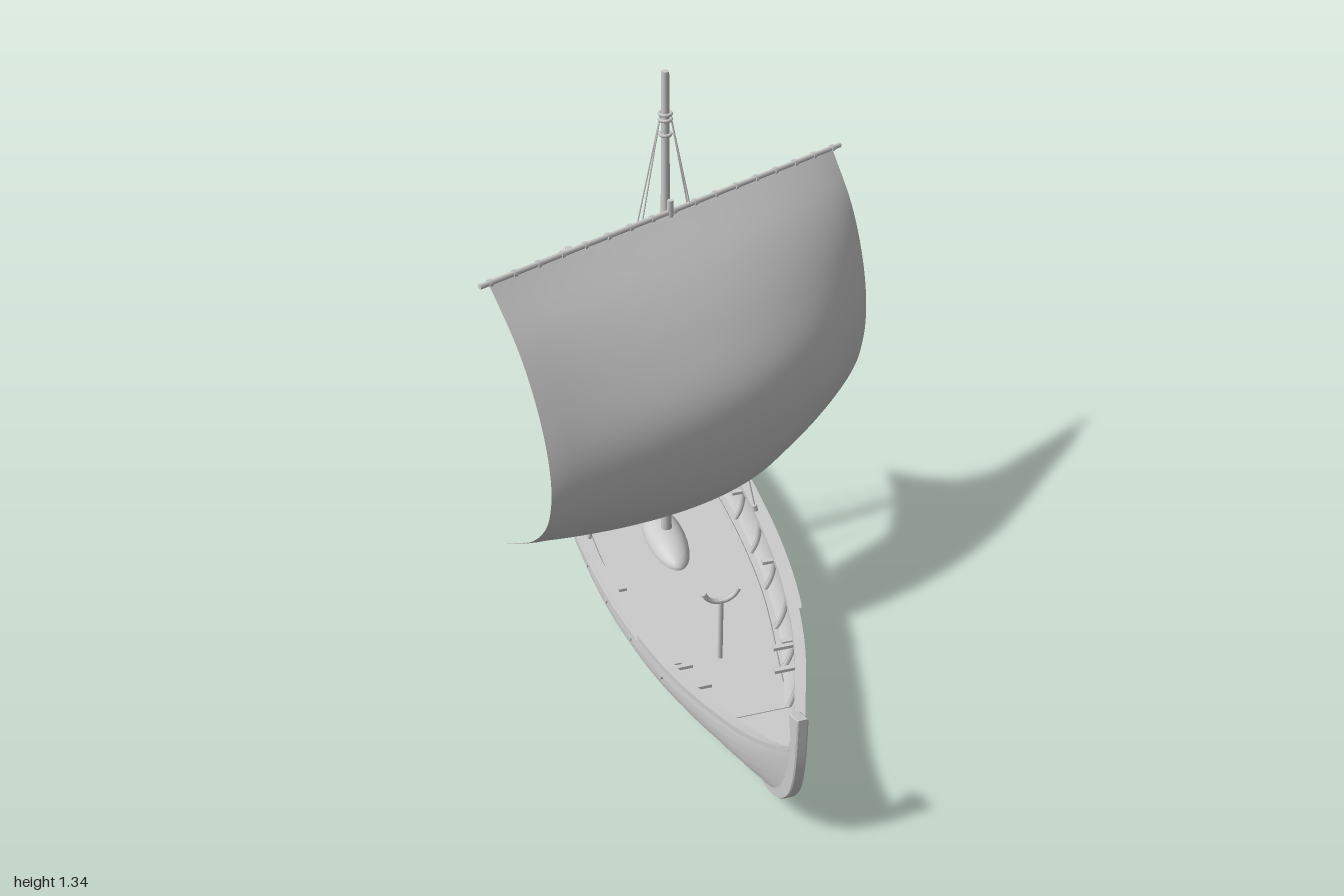
import * as THREE from 'three';
import { toCreasedNormals } from 'three/addons/utils/BufferGeometryUtils.js';

const grey = new THREE.MeshStandardMaterial({ color: 0xcccccc });
const thin = new THREE.MeshStandardMaterial({ color: 0xcccccc, side: THREE.DoubleSide });
const V = (x, y, z) => new THREE.Vector3(x, y, z);

function add(parent, name, geometry, material = grey, x = 0, y = 0, z = 0) {
  const mesh = new THREE.Mesh(geometry, material);
  mesh.name = name;
  mesh.position.set(x, y, z);
  parent.add(mesh);
  return mesh;
}

// Surface through rows of points
function loft(rows, crease = 0.5, flip = false) {
  const n = rows[0].length, index = [];
  for (let i = 0; i < rows.length - 1; i++) {
    for (let j = 0; j < n - 1; j++) {
      const a = i * n + j, b = a + 1, c = a + n, d = c + 1;
      if (flip) index.push(a, c, b, b, c, d);
      else index.push(a, b, c, b, d, c);
    }
  }
  const g = new THREE.BufferGeometry().setFromPoints(rows.flat());
  g.setIndex(index);
  return toCreasedNormals(g, crease);
}

// Round bar between two points
function bar(parent, name, a, b, r0, r1 = r0, sides = 8) {
  const mesh = add(parent, name, new THREE.CylinderGeometry(r1, r0, a.distanceTo(b), sides));
  mesh.position.copy(a).lerp(b, 0.5);
  mesh.quaternion.setFromUnitVectors(V(0, 1, 0), b.clone().sub(a).normalize());
  return mesh;
}

// Hull lines by distance from midship
function line(zs, values) {
  const f = new THREE.CubicInterpolant(new Float32Array(zs), new Float32Array(values), 1);
  return z => f.evaluate(Math.abs(z))[0];
}
const keelY = line([0, 0.4, 0.63, 0.8, 0.87, 0.92, 0.95, 0.975], [0.014, 0.016, 0.026, 0.04, 0.06, 0.09, 0.125, 0.16]);
const sheerY = line([0, 0.5, 0.7, 0.8, 0.88, 0.93, 0.96, 0.975], [0.178, 0.18, 0.187, 0.2, 0.222, 0.245, 0.265, 0.285]);
const beam = line([0, 0.2, 0.4, 0.6, 0.8, 0.9, 0.95, 0.975], [0.226, 0.218, 0.195, 0.15, 0.078, 0.04, 0.02, 0.01]);
const fullness = z => 2.8 - 1.7 * Math.pow(Math.abs(z) / 0.975, 2);

// Point on the hull: t = 0 at keel, 1 at gunwale; off = distance outwards
function hullPoint(z, t, off, side) {
  const a = t * Math.PI / 2, p = 2 / fullness(z), w = beam(z);
  const o = off * Math.min(1, w / 0.08);
  const x = w * Math.pow(Math.sin(a), p) + o * Math.sin(a);
  const y = keelY(z) + (sheerY(z) - keelY(z)) * (1 - Math.pow(Math.max(0, Math.cos(a)), p)) - o * Math.cos(a);
  return V(side * Math.max(0, x), y, z);
}
function halfWidthAt(z, y) {
  const n = fullness(z), h = THREE.MathUtils.clamp((y - keelY(z)) / (sheerY(z) - keelY(z)), 0, 1);
  return beam(z) * Math.pow(1 - Math.pow(1 - h, n), 1 / n);
}
const stations = Array.from({ length: 81 }, (_, i) => 0.975 * Math.sin((i / 40 - 1) * Math.PI / 2));

function buildHull(ship) {
  // Overlapping planks outside, smooth lining inside
  const strakes = 9;
  for (const side of [1, -1]) {
    add(ship, 'hullPlanking', loft(stations.map(z => {
      const row = [];
      for (let k = 0; k < strakes; k++) {
        for (let j = 0; j <= 2; j++) row.push(hullPoint(z, (k + j / 2) / strakes, 0.006 * (1 - j / 2), side));
      }
      return row;
    }), 0.4, side > 0), thin);
    add(ship, 'hullLining', loft(stations.map(z =>
      Array.from({ length: 15 }, (_, j) => hullPoint(z, j / 14, -0.008, side))), 0.6, side < 0), thin);

    // Gunwale cap and outer rail, both rectangular in section
    const rail = (name, zs, inner, outer, low, high) => add(ship, name, loft(zs.map(z => {
      const w = beam(z), y = sheerY(z), k = Math.min(1, w / 0.06);
      return [[inner, low], [inner, high], [outer, high], [outer, low], [inner, low]]
        .map(([dx, dy]) => V(side * Math.max(0, w + dx * k), y + dy, z));
    }), 0.6, side < 0), thin);
    rail('gunwale', stations, -0.018, 0.007, -0.008, 0.005);
    rail('outerRail', Array.from({ length: 25 }, (_, i) => -0.49 + i * 0.04), 0.007, 0.015, -0.004, 0.004);

    // Frames inside and oar ports outside
    for (let i = 0; i < 11; i++) {
      const z = -0.7 + i * 0.14;
      const path = [0.5, 0.65, 0.8, 0.9, 0.99].map(t => hullPoint(z, t, -0.012, side));
      add(ship, 'frame', new THREE.TubeGeometry(new THREE.CatmullRomCurve3(path), 10, 0.007, 5));
      if (i > 0 && i < 10) {
        const port = add(ship, 'oarPort', new THREE.CylinderGeometry(0.007, 0.007, 0.006, 10), grey,
          side * (halfWidthAt(z, 0.14) + 0.005), 0.14, z);
        port.rotation.z = Math.PI / 2;
      }
      if (i % 2) add(ship, 'knee', new THREE.BoxGeometry(0.035, 0.008, 0.012), grey,
        side * (beam(z) - 0.027), sheerY(z) - 0.012, z);
    }
  }

  // Keel with curved stem posts at both ends
  const outer = [[0.4, 0.003], [0.63, 0.015], [0.8, 0.029], [0.87, 0.05], [0.93, 0.093], [0.975, 0.155], [0.996, 0.24], [1, 0.375]];
  const inner = [[0.952, 0.352], [0.965, 0.295], [0.952, 0.258], [0.945, 0.18], [0.9, 0.1], [0.8, 0.055], [0.6, 0.035], [0, 0.022]];
  for (const end of [1, -1]) {
    const shape = new THREE.Shape();
    shape.moveTo(0, 0);
    shape.splineThru(outer.map(p => new THREE.Vector2(...p)));
    inner.forEach(p => shape.lineTo(...p));
    const g = new THREE.ExtrudeGeometry(shape, { depth: 0.018, bevelEnabled: true, bevelSize: 0.002, bevelOffset: -0.002, bevelThickness: 0.003, bevelSegments: 1, curveSegments: 30 });
    g.translate(0, 0, -0.009);
    add(ship, 'keelAndStem', g).rotation.y = -end * Math.PI / 2;
  }
}

function deck(ship, name, z0, z1, y) {
  const rows = Array.from({ length: 25 }, (_, i) => {
    const z = z0 + (z1 - z0) * i / 24, w = Math.max(0.004, halfWidthAt(z, y) - 0.006);
    return [V(-w, y, z), V(w, y, z)];
  });
  add(ship, name, loft(rows, 0.5, true), thin);
}

function buildFittings(ship) {
  const floor = 0.085;
  deck(ship, 'floor', -0.86, 0.86, floor);
  for (const end of [1, -1]) {
    deck(ship, 'endDeck', end > 0 ? 0.7 : -0.91, end > 0 ? 0.91 : -0.67, 0.115);
    const z = end > 0 ? 0.7 : -0.67;
    add(ship, 'deckBeam', new THREE.BoxGeometry(2 * halfWidthAt(z, 0.1) - 0.016, 0.03, 0.012), grey, 0, 0.102, z);
  }
  // Floor edge planks
  for (const side of [1, -1]) {
    const path = [-0.62, -0.3, 0, 0.3, 0.6].map(z => V(side * halfWidthAt(z, 0.1) * 0.82, floor + 0.001, z));
    add(ship, 'floorEdge', new THREE.TubeGeometry(new THREE.CatmullRomCurve3(path), 24, 0.004, 5));
    // Short thwarts at the bow
    for (const z of [0.57, 0.64]) add(ship, 'bowBracket', new THREE.BoxGeometry(0.05, 0.008, 0.012), grey, side * (beam(z) - 0.04), 0.165, z);
  }
  // Posts with crescent-shaped crutches
  for (const [z, top] of [[0.48, 0.285], [-0.45, 0.28], [-0.085, 0.26]]) {
    bar(ship, 'crutchPost', V(0, floor, z), V(0, top - 0.03, z), 0.006);
    const crescent = add(ship, 'crutch', new THREE.TorusGeometry(0.043, 0.006, 8, 20, Math.PI * 0.8), grey, 0, top + 0.008, z);
    crescent.rotation.z = Math.PI * 1.1;
  }
  // Mast partner block on the floor
  const block = add(ship, 'mastPartner', new THREE.SphereGeometry(1, 24, 8, 0, Math.PI * 2, 0, Math.PI / 2), grey, 0, floor, 0.03);
  block.scale.set(0.05, 0.04, 0.13);
  // Steering gear on the right quarter
  const x = -beam(-0.79);
  bar(ship, 'rudderStock', V(x - 0.018, 0.15, -0.79), V(x - 0.018, 0.25, -0.79), 0.008);
  bar(ship, 'tiller', V(x - 0.022, 0.232, -0.79), V(x + 0.065, 0.232, -0.79), 0.005);
  bar(ship, 'rudderBoss', V(x - 0.03, 0.195, -0.79), V(x + 0.015, 0.195, -0.79), 0.014);
}

function buildRig(root) {
  const mx = -0.033, mz = 0.035;
  bar(root, 'mast', V(mx, 0.085, mz), V(mx, 1.335, mz), 0.0135, 0.0085, 16);
  for (const [y, r] of [[0.2, 0.02], [0.23, 0.03], [0.245, 0.02], [1.19, 0.012], [1.225, 0.013], [1.238, 0.013]]) {
    add(root, 'mastRope', new THREE.TorusGeometry(r, 0.004, 6, 20), grey, mx, y, mz).rotation.x = Math.PI / 2;
  }
  bar(root, 'cleatBar', V(mx - 0.04, 0.23, mz), V(mx + 0.04, 0.23, mz), 0.004);
  // Shrouds from masthead to gunwales
  for (const side of [1, -1]) {
    for (const z of [0.1, -0.03]) {
      const foot = V(mx + side * 0.21, 0.18, z);
      bar(root, 'shroud', V(mx + side * 0.011, 1.235, mz), foot, 0.0018, 0.0018, 5);
      bar(root, 'shroudBlock', foot, V(mx + side * 0.206, 0.2, z), 0.006);
    }
  }
  bar(root, 'halyard', V(mx, 1.235, mz - 0.012), V(mx, 0.25, -0.085), 0.0018, 0.0018, 5);

  // Yard, slung at an angle in front of the mast
  const left = V(-0.49, 1.02, 0.29), right = V(0.443, 1.02, -0.155);
  bar(root, 'yard', left, right, 0.006);
  const along = right.clone().sub(left).normalize(), ahead = V(-along.z, 0, along.x);
  for (let i = 0; i <= 16; i++) {
    const p = left.clone().lerp(right, 0.025 + 0.95 * i / 16);
    bar(root, 'yardLashing', p.clone().addScaledVector(along, -0.004), p.clone().addScaledVector(along, 0.004), 0.0085);
  }
  bar(root, 'yardBlock', V(mx, 1.01, 0.075), V(mx, 1.05, 0.075), 0.007);

  // Billowing square sail: bulge profiles for the edges and the middle
  const v = [0, 0.16, 0.32, 0.5, 0.65, 0.78, 0.9, 1];
  const edge = line(v, [0, 0.08, 0.13, 0.16, 0.16, 0.13, 0.06, -0.035]);
  const middle = line(v, [0, 0.11, 0.195, 0.263, 0.28, 0.27, 0.245, 0.21]);
  const rows = [];
  for (let i = 0; i <= 36; i++) {
    const t = i / 36, row = [];
    for (let j = 0; j <= 44; j++) {
      const u = j / 44, m = Math.pow(Math.sin(Math.PI * Math.min(1, u)) + 1e-9, 0.8);
      const bulge = THREE.MathUtils.lerp(edge(t) * (1.12 - 0.25 * u), middle(t), m);
      const foot = 0.315 + 0.063 * m;
      const shrink = (0.5 - u) * 0.05 * Math.pow(t, 6);
      const p = left.clone().lerp(right, 0.022 + 0.953 * u + shrink).addScaledVector(ahead, bulge);
      p.y = THREE.MathUtils.lerp(1.018, foot, t);
      row.push(p);
    }
    rows.push(row);
  }
  add(root, 'sail', loft(rows, 1.2, true), thin);
}

export function createModel() {
  const root = new THREE.Group();
  root.name = 'sailingShip';
  const ship = new THREE.Group();
  ship.name = 'hull';
  ship.position.x = -0.035;
  ship.rotation.y = 0.02;
  root.add(ship);
  buildHull(ship);
  buildFittings(ship);
  buildRig(root);
  return root;
}
